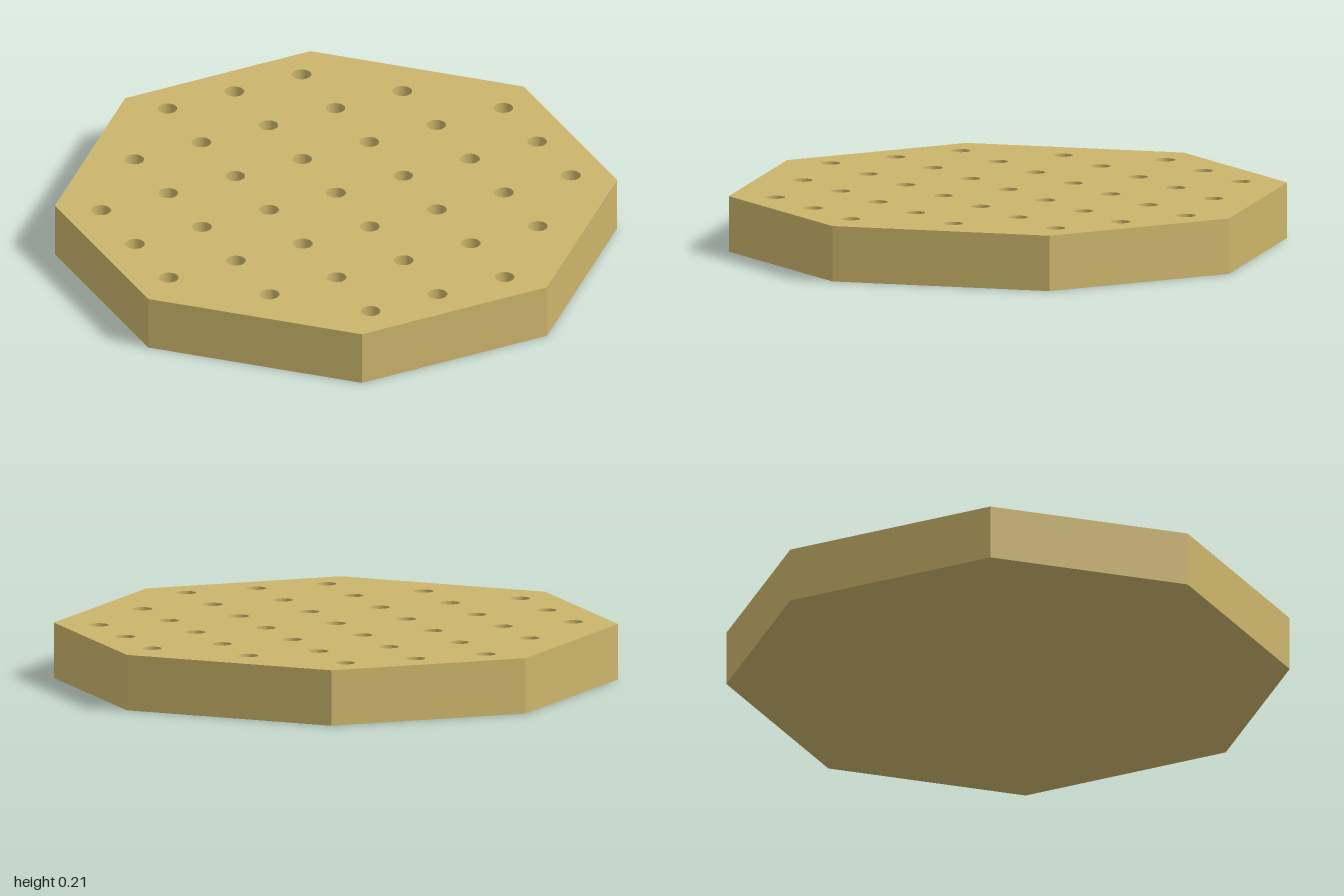
import * as THREE from 'three';

const HEIGHT = 0.214;      // full board thickness
const HOLE_DEPTH = 0.14;   // blind holes, closed below
const HOLE_RADIUS = 0.0375;
const PITCH = 0.286;       // hole spacing
const CORNER = 0.395;      // half length of the straight edges

// Octagonal outline with wide corner cuts
function octagon() {
  const c = CORNER;
  return new THREE.Shape([
    [c, -1], [1, -c], [1, c], [c, 1], [-c, 1], [-1, c], [-1, -c], [-c, -1],
  ].map(([x, y]) => new THREE.Vector2(x, y)));
}

// Upright slab from a shape, resting at height y
function slab(name, shape, y, depth, material) {
  const geometry = new THREE.ExtrudeGeometry(shape, { depth, bevelEnabled: false, curveSegments: 32 });
  geometry.rotateX(-Math.PI / 2);
  const mesh = new THREE.Mesh(geometry, material);
  mesh.name = name;
  mesh.position.y = y;
  return mesh;
}

export function createModel() {
  const group = new THREE.Group();
  group.name = 'pegBoard';

  const wood = new THREE.MeshStandardMaterial({ color: 0xccb56b });
  wood.name = 'pale wood';

  // Drilled upper layer: 7 x 7 grid of peg holes with the corners left out
  const drilled = octagon();
  for (let i = -3; i <= 3; i++) {
    for (let j = -3; j <= 3; j++) {
      if (Math.abs(i) + Math.abs(j) > 4) continue;
      const hole = new THREE.Path();
      hole.absarc(i * PITCH, j * PITCH, HOLE_RADIUS, 0, Math.PI * 2, true);
      drilled.holes.push(hole);
    }
  }

  // Solid lower layer forms the hole floors and the underside
  const baseHeight = HEIGHT - HOLE_DEPTH;
  group.add(slab('boardBase', octagon(), 0, baseHeight, wood));
  group.add(slab('boardTopWithHoles', drilled, baseHeight, HOLE_DEPTH, wood));
  return group;
}
